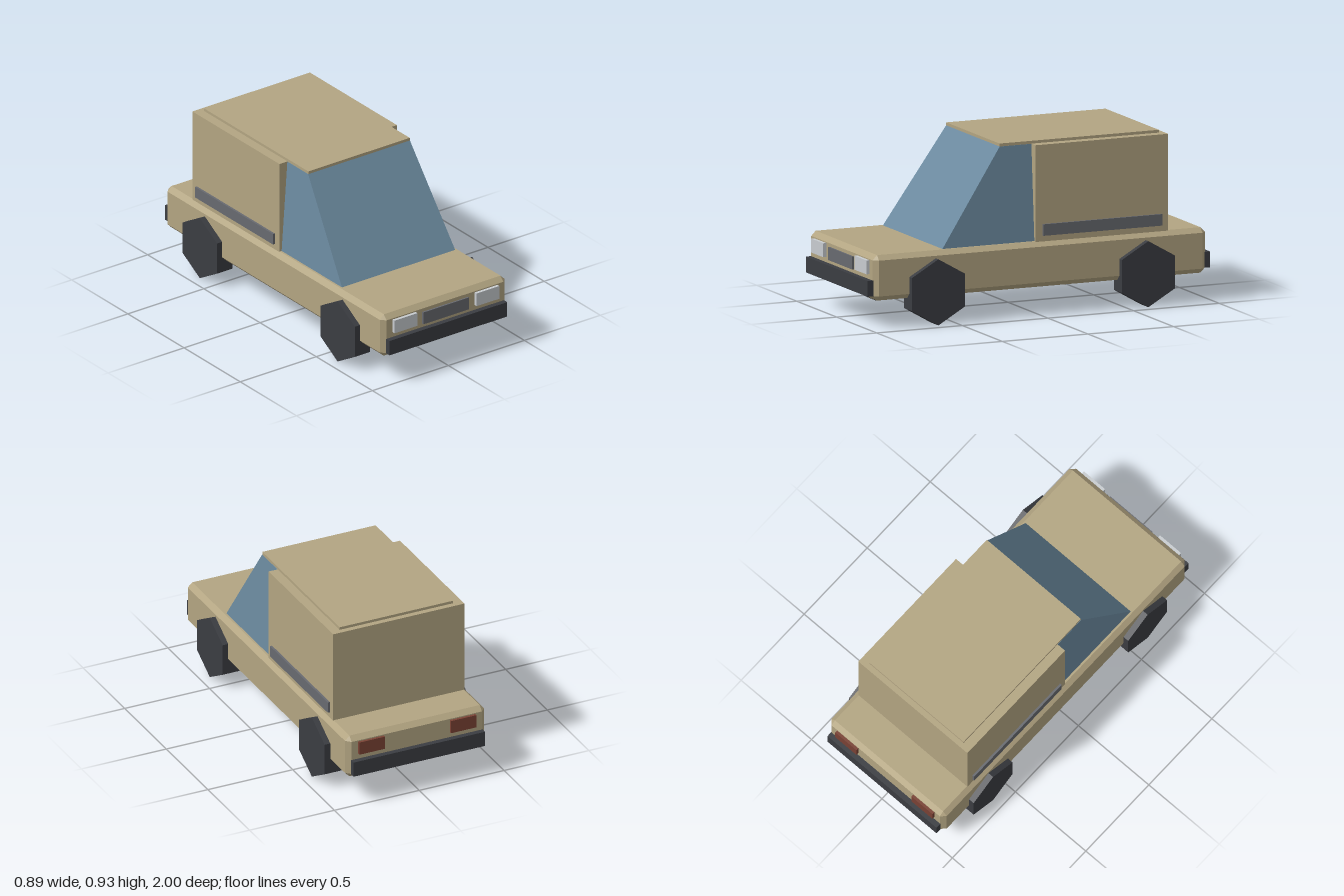
import * as THREE from 'three';
import { ConvexGeometry } from 'three/addons/geometries/ConvexGeometry.js';

const material = (color) => new THREE.MeshStandardMaterial({ color, flatShading: true });

export function createModel() {
  const car = new THREE.Group();
  car.name = 'car';
  const paint = material(0xb3a582);
  const glass = material(0x6c8ba0);
  const rubber = material(0x3b3d42);
  const trim = material(0x686a70);
  const lamp = material(0xc8ccd0);
  const red = material(0x7a4234);

  const add = (name, geometry, mat) => {
    const mesh = new THREE.Mesh(geometry, mat);
    mesh.name = name;
    car.add(mesh);
    return mesh;
  };
  // Box given by its extents along each axis
  const block = (name, [x0, x1], [y0, y1], [z0, z1], mat) =>
    add(name, new THREE.BoxGeometry(x1 - x0, y1 - y0, z1 - z0), mat)
      .position.set((x0 + x1) / 2, (y0 + y1) / 2, (z0 + z1) / 2);

  // Lower body: a box with every edge chamfered
  const half = [0.41, 0.1225, 0.97], chamfer = 0.026;
  const corners = [];
  for (const sx of [-1, 1]) for (const sy of [-1, 1]) for (const sz of [-1, 1]) {
    for (let axis = 0; axis < 3; axis++) {
      const p = half.map((h, i) => (i === axis ? h : h - chamfer));
      corners.push(new THREE.Vector3(sx * p[0], sy * p[1], sz * p[2]));
    }
  }
  add('body', new ConvexGeometry(corners), paint).position.y = 0.2725;

  // Glazed cabin: narrows upward, with a raked windscreen
  const cabin = [];
  for (const s of [-1, 1]) {
    cabin.push(
      new THREE.Vector3(s * 0.373, 0.39, 0.56), new THREE.Vector3(s * 0.335, 0.912, 0.205),
      new THREE.Vector3(s * 0.373, 0.39, -0.7), new THREE.Vector3(s * 0.335, 0.912, -0.7));
  }
  add('cabinGlass', new ConvexGeometry(cabin), glass);

  // Rear compartment and roof panel
  block('rearCompartment', [-0.387, 0.387], [0.39, 0.913], [-0.755, 0.02], paint);
  block('roof', [-0.334, 0.334], [0.908, 0.928], [-0.725, 0.205], paint);

  // Grille and bumpers
  block('grille', [-0.15, 0.15], [0.28, 0.35], [0.95, 0.98], trim);
  block('frontBumper', [-0.387, 0.387], [0.175, 0.26], [0.95, 1], rubber);
  block('rearBumper', [-0.387, 0.387], [0.175, 0.26], [-1, -0.95], rubber);

  // Mirrored parts
  for (const [side, s] of [['left', 1], ['right', -1]]) {
    const span = (a, b) => (s > 0 ? [a, b] : [-b, -a]);
    block(side + 'Headlight', span(0.195, 0.345), [0.288, 0.363], [0.95, 0.988], lamp);
    block(side + 'TailLight', span(0.195, 0.345), [0.29, 0.363], [-0.985, -0.95], red);
    block(side + 'SideTrim', span(0.37, 0.399), [0.424, 0.486], [-0.715, -0.02], trim);

    // Six-sided wheels standing on a corner
    for (const [end, z] of [['Front', 0.613], ['Rear', -0.613]]) {
      const wheel = new THREE.CylinderGeometry(0.178, 0.178, 0.1, 6, 1, false, Math.PI / 2);
      wheel.rotateZ(Math.PI / 2);
      add(side + end + 'Wheel', wheel, rubber).position.set(s * 0.393, 0.178, z);
    }
  }
  return car;
}
